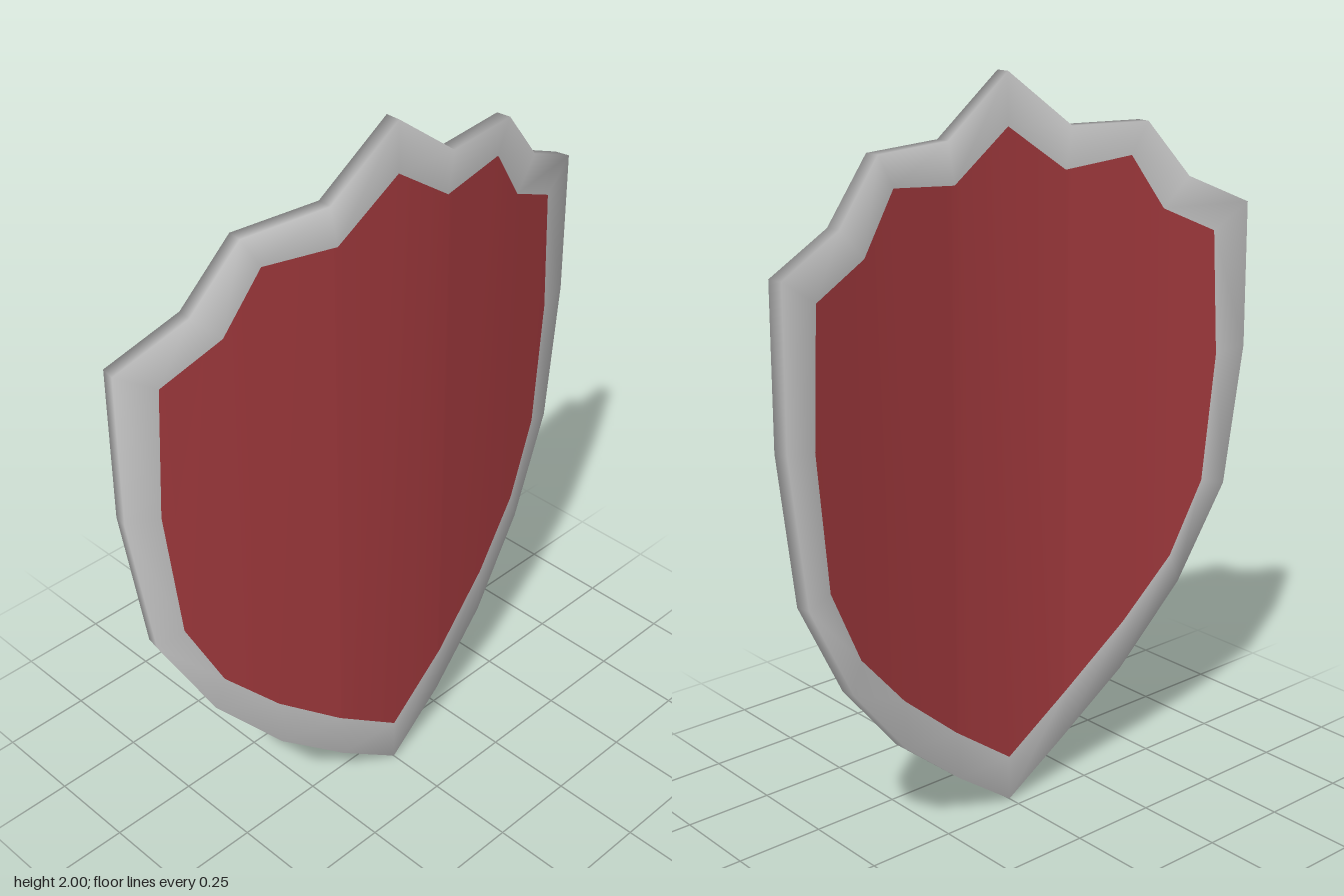
import * as THREE from 'three';

// Right half of the outlines, from top tip to bottom tip
const OUTER = [[0, 2], [0.205, 1.85], [0.445, 1.845], [0.58, 1.69], [0.772, 1.605], [0.777, 1.2],
  [0.725, 0.8], [0.58, 0.525], [0.39, 0.3], [0.19, 0.135], [0, 0]];
const INNER = [[0, 1.865], [0.185, 1.74], [0.395, 1.76], [0.5, 1.61], [0.665, 1.535], [0.685, 1.185],
  [0.65, 0.82], [0.55, 0.61], [0.395, 0.44], [0.2, 0.275], [0, 0.13]];
const WIDEST = 5; // index of the widest point of the outline
const THICKNESS = 0.04;
// Horizontal bend of the front surface: [x, z]
const BEND = [[0, 0.078], [0.2, 0.064], [0.4, 0.036], [0.58, 0.002], [0.78, -0.041]];

// Linear interpolation of a point list by its first coordinate
function sample(points, x, k) {
  for (let i = 1; i < points.length; i++) {
    const a = points[i - 1], b = points[i];
    if (x <= b[0] + 1e-9) return a[k] + (b[k] - a[k]) * (x - a[0]) / (b[0] - a[0]);
  }
  return points[points.length - 1][k];
}

const bend = ([x, y]) => [x, y, sample(BEND, Math.abs(x), 1)];
const toBack = ([x, y, z]) => [x * 0.99, y, z - THICKNESS];
const mirrorLoop = (half) =>
  [...half, ...half.slice(1, -1).reverse().map(([x, y]) => [-x, y])].map(bend);

function makeMesh(name, points, index, color) {
  const geometry = new THREE.BufferGeometry();
  geometry.setAttribute('position', new THREE.Float32BufferAttribute(points.flat(), 3));
  geometry.setIndex(index);
  geometry.computeVertexNormals();
  const mesh = new THREE.Mesh(geometry, new THREE.MeshStandardMaterial({ color }));
  mesh.name = name;
  return mesh;
}

// Rim: front band, outer wall and back band with shared, smooth corners
function makeRim() {
  const outer = mirrorLoop(OUTER), inner = mirrorLoop(INNER), n = outer.length;
  const rings = [inner, outer, outer.map(toBack), inner.map(toBack)];
  const index = [];
  for (let r = 0; r < 3; r++) {
    for (let i = 0; i < n; i++) {
      const j = (i + 1) % n;
      const a = r * n + i, b = r * n + j, c = (r + 1) * n + j, d = (r + 1) * n + i;
      index.push(a, b, c, a, c, d);
    }
  }
  return makeMesh('rim', rings.flat(), index, 0xcccccc);
}

// Panel: vertical strips between the upper and lower inner edge
function makePanel(name, back) {
  const top = INNER.slice(0, WIDEST + 1).map(bend);
  const bottom = INNER.slice(WIDEST).reverse().map(bend);
  const half = [...new Set(INNER.map((p) => p[0]))].sort((a, b) => a - b);
  const columns = [...half.slice(1).reverse().map((x) => -x), ...half];
  const points = [], index = [];
  columns.forEach((x, i) => {
    for (const chain of [bottom, top]) {
      const p = [x, sample(chain, Math.abs(x), 1), sample(chain, Math.abs(x), 2)];
      points.push(back ? toBack(p) : p);
    }
    if (i === 0) return;
    const a = 2 * i - 2, b = 2 * i, c = 2 * i + 1, d = 2 * i - 1;
    index.push(...(back ? [a, c, b, a, d, c] : [a, b, c, a, c, d]));
  });
  return makeMesh(name, points, index, 0xa83c40);
}

export function createModel() {
  const shield = new THREE.Group();
  shield.name = 'shield';
  shield.add(makeRim(), makePanel('frontPanel', false), makePanel('backPanel', true));
  return shield;
}
